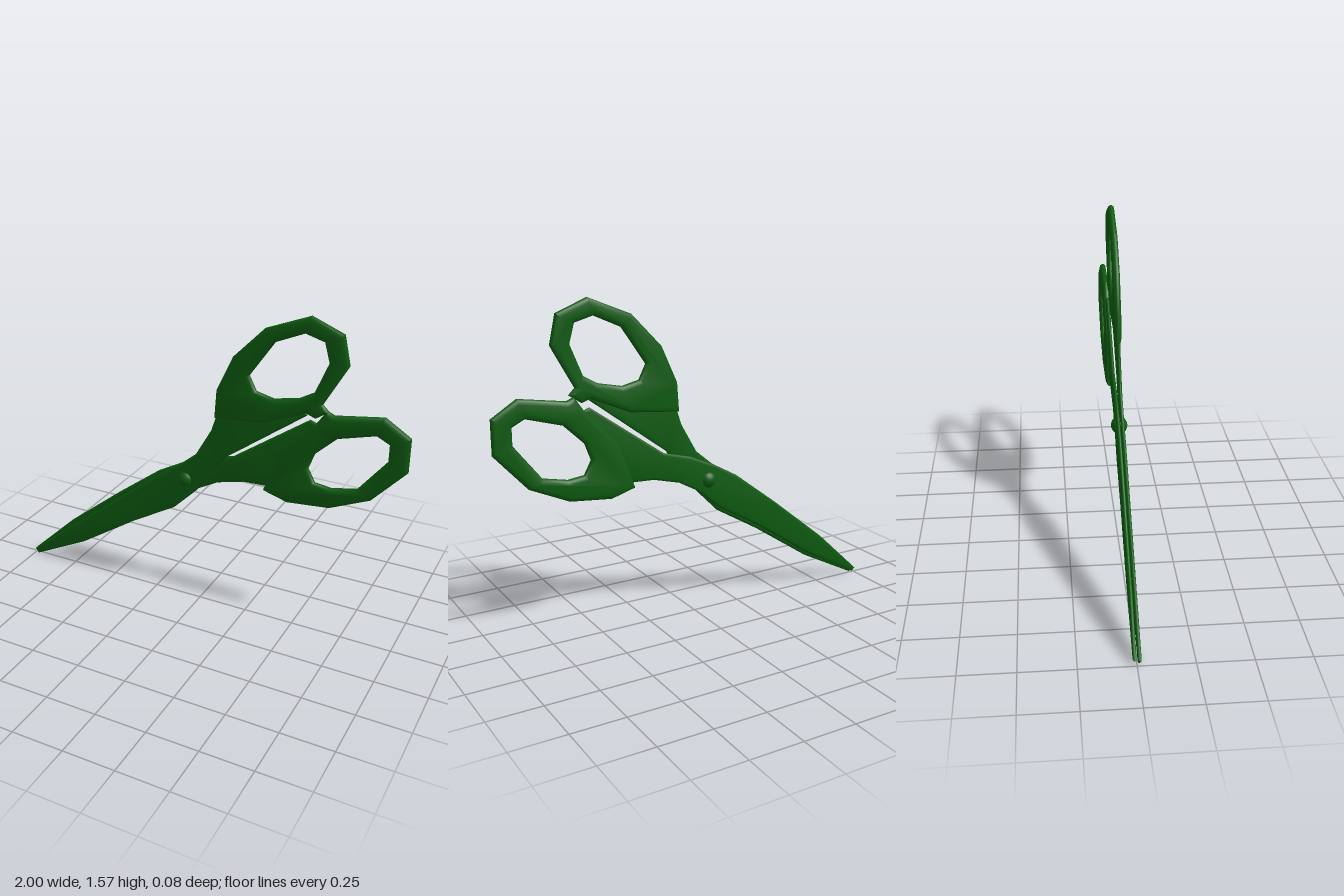
import * as THREE from 'three';
import { toCreasedNormals } from 'three/addons/utils/BufferGeometryUtils.js';

const material = new THREE.MeshStandardMaterial({ color: 0x0d5a10 });
const points = (list) => list.map(([x, y]) => new THREE.Vector2(x, y));

// Bevelled plate whose widest outline is exactly the given polygon, between z0 and z1
function plate(name, outline, z0, z1, bevel, bevelHeight, hole) {
  const shape = new THREE.Shape(points(outline));
  if (hole) shape.holes.push(new THREE.Path(points(hole)));
  const geometry = new THREE.ExtrudeGeometry(shape, {
    depth: z1 - z0 - 2 * bevelHeight,
    bevelEnabled: true,
    bevelSize: bevel,
    bevelOffset: -bevel,
    bevelThickness: bevelHeight,
    bevelSegments: 2,
  });
  geometry.translate(0, 0, z0 + bevelHeight);
  const mesh = new THREE.Mesh(toCreasedNormals(geometry, 0.75), material);
  mesh.name = name;
  return mesh;
}

export function createModel() {
  const group = new THREE.Group();
  group.name = 'scissors';

  // Front half: blade and shank in one plate, leading to the upper handle
  const frontHalf = new THREE.Group();
  frontHalf.name = 'frontHalf';
  frontHalf.add(plate('frontBlade', [
    [-0.98, 0.005], [-0.675, 0.16], [-0.365, 0.365], [-0.135, 0.5], [-0.01, 0.625],
    [0.04, 0.71], [0.15, 0.84], [0.535, 1.125], [0.5, 1.17], [0.12, 1.08],
    [0.09, 1.03], [0.065, 0.955], [-0.015, 0.815], [-0.105, 0.74],
    [-0.24, 0.645], [-0.7, 0.275], [-1, 0.03],
  ], 0.003, 0.02, 0.012, 0.006));
  frontHalf.add(plate('upperHandle', [
    [0.08, 1.02], [0.33, 1.045], [0.53, 1.13], [0.57, 1.115], [0.63, 1.155], [0.6, 1.185],
    [0.71, 1.38], [0.68, 1.515], [0.53, 1.575], [0.32, 1.49],
    [0.17, 1.335], [0.09, 1.16],
  ], -0.008, 0.025, 0.022, 0.012, [
    [0.25, 1.26], [0.285, 1.19], [0.37, 1.17], [0.49, 1.195], [0.56, 1.235],
    [0.62, 1.38], [0.595, 1.47], [0.505, 1.495], [0.37, 1.435],
  ]));

  // Back half: blade and shank leading to the lower handle
  const backHalf = new THREE.Group();
  backHalf.name = 'backHalf';
  backHalf.add(plate('backBlade', [
    [-0.98, 0.015], [-0.675, 0.18], [-0.365, 0.385], [-0.135, 0.52], [-0.01, 0.625],
    [0.09, 0.68], [0.225, 0.715], [0.34, 0.72], [0.46, 0.8], [0.58, 1.08],
    [0.54, 1.095], [0.17, 0.835], [0.03, 0.8], [-0.105, 0.74],
    [-0.23, 0.67], [-0.455, 0.5], [-0.755, 0.26], [-1, 0.03],
  ], -0.018, -0.001, 0.012, 0.006));
  backHalf.add(plate('lowerHandle', [
    [0.325, 0.695], [0.445, 0.66], [0.65, 0.68], [0.84, 0.765], [0.995, 0.935],
    [0.995, 1.095], [0.875, 1.17], [0.65, 1.135], [0.615, 1.15], [0.57, 1.085],
    [0.41, 0.92],
  ], -0.029, 0.005, 0.022, 0.012, [
    [0.54, 0.855], [0.575, 0.79], [0.655, 0.78], [0.775, 0.805], [0.905, 0.97],
    [0.905, 1.05], [0.845, 1.08], [0.67, 1.03], [0.57, 0.935],
  ]));
  group.add(frontHalf, backHalf);

  // Domed rivet through both blades
  const rivet = new THREE.Mesh(new THREE.SphereGeometry(0.042, 16, 12), material);
  rivet.name = 'pivotRivet';
  rivet.scale.z = 0.93;
  rivet.position.set(-0.073, 0.67, 0);
  group.add(rivet);

  return group;
}
